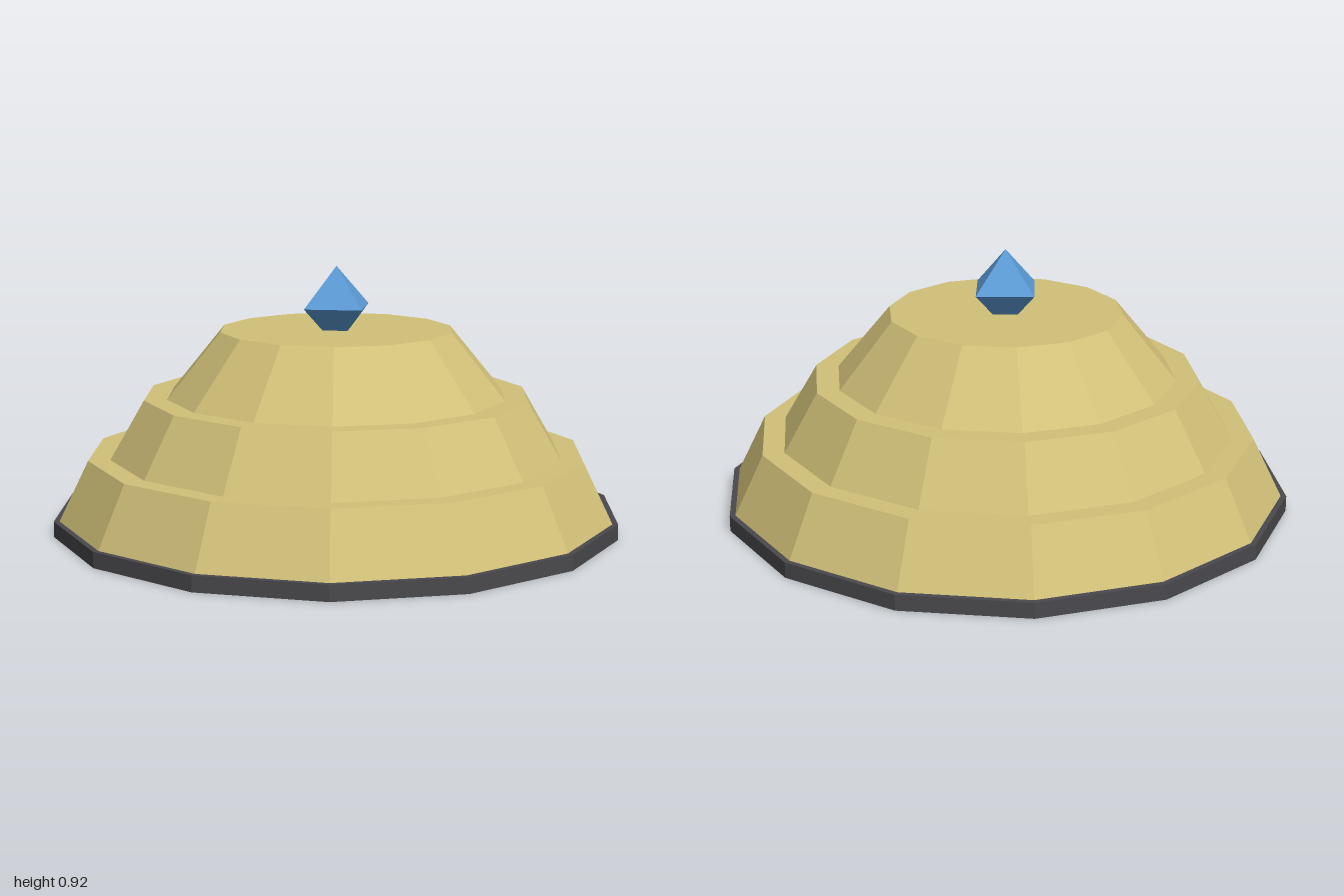
import * as THREE from 'three';

export function createModel() {
  const model = new THREE.Group();
  const material = (name, color) => {
    const m = new THREE.MeshStandardMaterial({ color, flatShading: true });
    m.name = name;
    return m;
  };
  const sand = material('sand', 0xd2c179);
  const charcoal = material('charcoal', 0x4a4a4e);
  const blue = material('crystal blue', 0x5b9bd5);

  // Fourteen-sided tapered slab with corners on the x axis
  const slab = (name, mat, rBottom, rTop, y0, y1) => {
    const geometry = new THREE.CylinderGeometry(rTop, rBottom, y1 - y0, 14);
    geometry.rotateY(Math.PI / 2);
    geometry.translate(0, (y0 + y1) / 2, 0);
    const mesh = new THREE.Mesh(geometry, mat);
    mesh.name = name;
    model.add(mesh);
  };

  slab('basePlate', charcoal, 1, 1, 0, 0.055);
  slab('lowerTier', sand, 0.98, 0.877, 0.055, 0.265);
  slab('middleTier', sand, 0.8, 0.68, 0.265, 0.47);
  slab('upperTier', sand, 0.6, 0.411, 0.47, 0.7);

  // Crystal partly sunk into the top
  const crystal = new THREE.Mesh(new THREE.OctahedronGeometry(0.142), blue);
  crystal.name = 'crystal';
  crystal.position.y = 0.78;
  model.add(crystal);

  return model;
}
